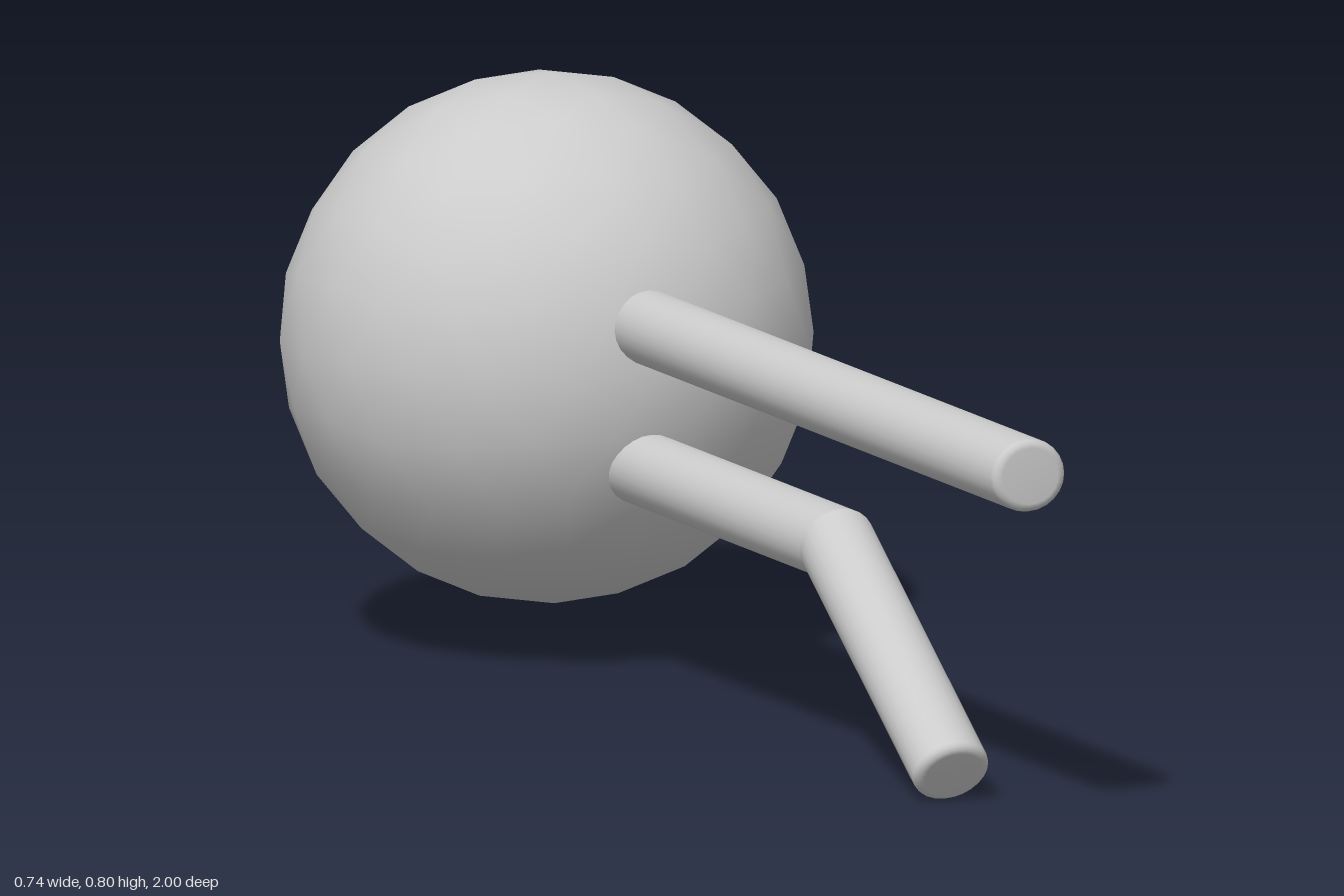
import * as THREE from 'three';

const material = new THREE.MeshStandardMaterial({ color: 0xcccccc });
const HALF_WIDTH = 0.055, HALF_HEIGHT = 0.051, BEVEL = 0.012, SIDES = 24;

// Icosphere refined by halving the edges twice
function icosphere(radius) {
  const once = new THREE.IcosahedronGeometry(1, 1).attributes.position;
  const corners = Array.from(once.array);
  const indices = Array.from({ length: once.count }, (_, i) => i);
  const geometry = new THREE.PolyhedronGeometry(corners, indices, radius, 1);
  // Turn one corner of the icosahedron straight up
  return geometry.rotateZ(-Math.atan(2 / (1 + Math.sqrt(5))));
}

// Oval bar along a bent path in the yz plane, mitred at bends, softly bevelled at its tip
function barGeometry(path) {
  const positions = [], indices = [];
  const ring = (centre, up, stretch, scale) => {
    const start = positions.length / 3;
    for (let i = 0; i < SIDES; i++) {
      const a = (i / SIDES) * Math.PI * 2;
      const h = Math.sin(a) * HALF_HEIGHT * stretch * scale;
      positions.push(Math.cos(a) * HALF_WIDTH * scale, centre.y + up.y * h, centre.x + up.x * h);
    }
    return start;
  };
  const bridge = (a, b) => {
    for (let i = 0; i < SIDES; i++) {
      const j = (i + 1) % SIDES;
      indices.push(a + i, a + j, b + j, a + i, b + j, b + i);
    }
  };
  const cap = (centre, start, flip) => {
    const mid = positions.length / 3;
    positions.push(0, centre.y, centre.x);
    for (let i = 0; i < SIDES; i++) {
      const j = (i + 1) % SIDES;
      indices.push(mid, start + (flip ? j : i), start + (flip ? i : j));
    }
  };

  // Each point is a Vector2 holding (z, y)
  const dirs = path.slice(1).map((p, i) => p.clone().sub(path[i]).normalize());
  const normalOf = (d) => new THREE.Vector2(-d.y, d.x);
  const last = dirs.length - 1;
  const jointUp = (i) => normalOf(dirs[i].clone().add(dirs[i + 1]).normalize());

  dirs.forEach((dir, i) => {
    const up = normalOf(dir);
    const startUp = i > 0 ? jointUp(i - 1) : up;
    const endUp = i < last ? jointUp(i) : up;
    const first = ring(path[i], startUp, 1 / startUp.dot(up), 1);
    if (i === 0) cap(path[0], ring(path[0], up, 1, 1), true);
    if (i < last) {
      bridge(first, ring(path[i + 1], endUp, 1 / endUp.dot(up), 1));
      return;
    }
    // Rounded rim and flat tip
    const tip = path[i + 1];
    let previous = first;
    for (let k = 0; k <= 3; k++) {
      const a = (k / 3) * Math.PI / 2;
      const centre = tip.clone().addScaledVector(dir, -BEVEL * (1 - Math.sin(a)));
      const next = ring(centre, up, 1, 1 - (BEVEL / HALF_HEIGHT) * (1 - Math.cos(a)));
      bridge(previous, next);
      previous = next;
    }
    cap(tip, previous, false);
  });

  const geometry = new THREE.BufferGeometry();
  geometry.setAttribute('position', new THREE.Float32BufferAttribute(positions, 3));
  geometry.setIndex(indices);
  geometry.computeVertexNormals();
  return geometry;
}

export function createModel() {
  const model = new THREE.Group();
  const add = (name, geometry) => {
    const mesh = new THREE.Mesh(geometry, material);
    mesh.name = name;
    model.add(mesh);
    return mesh;
  };
  const point = (z, y) => new THREE.Vector2(z, y);

  // Ball at the rear
  add('ball', icosphere(0.368)).position.set(0, 0.433, -0.632);

  // Straight bar above, bent bar below, both rooted inside the ball
  add('upperBar', barGeometry([point(-0.45, 0.501), point(1, 0.501)]));
  add('lowerBentBar', barGeometry([point(-0.45, 0.302), point(0.347, 0.302), point(0.739, 0.043)]));

  return model;
}
